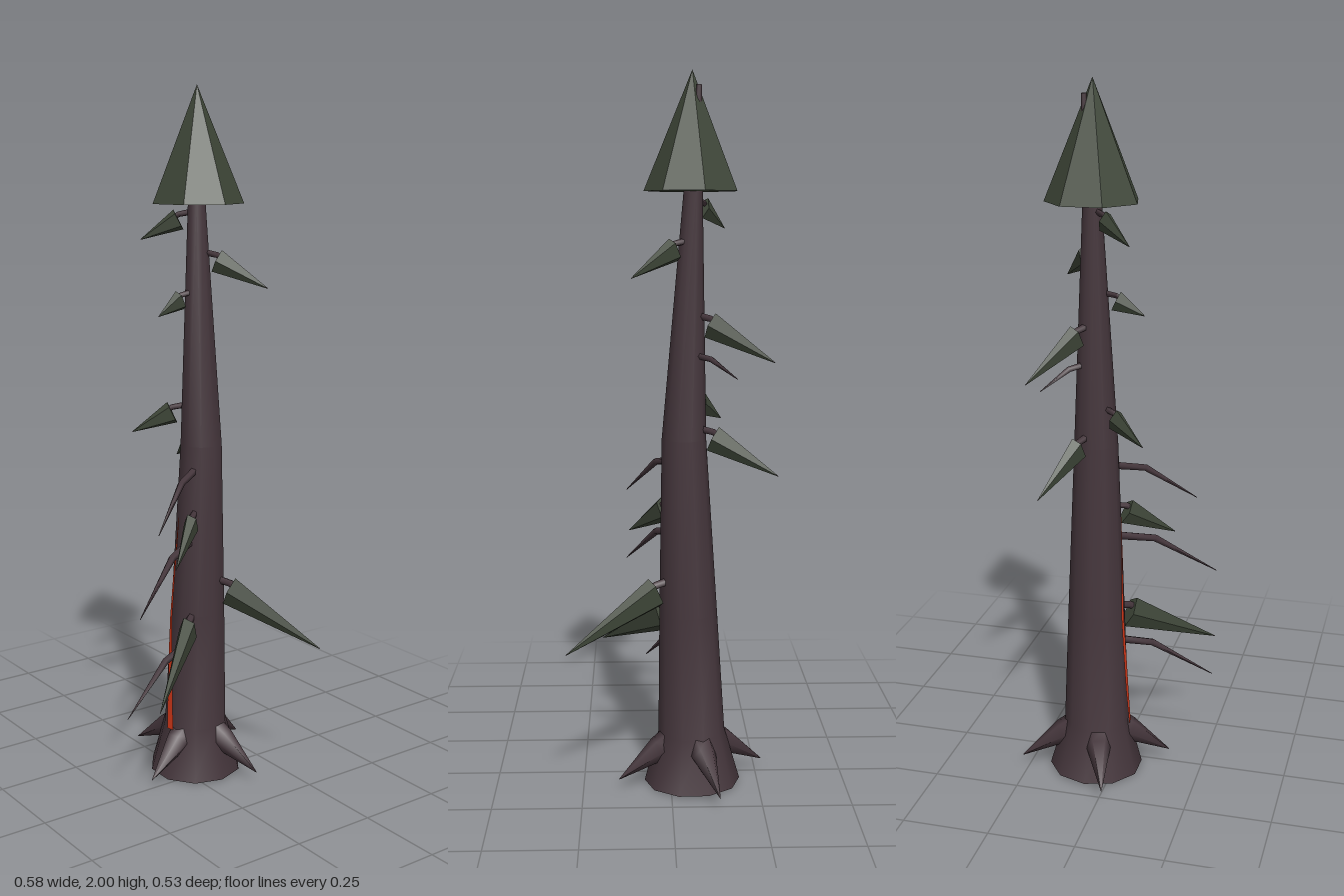
import * as THREE from 'three';
import { toCreasedNormals } from 'three/addons/utils/BufferGeometryUtils.js';

const V = (x, y, z) => new THREE.Vector3(x, y, z);

// Tapered limb: rings of the given radii along a path, capped at both ends.
// squash narrows the rings sideways; crease is the smoothing angle.
function limb(path, radii, sides, crease, squash = 1) {
  const pos = [], index = [], n = path.length;
  path.forEach((p, i) => {
    const d = path[Math.min(i + 1, n - 1)].clone().sub(path[Math.max(i - 1, 0)]).normalize();
    const ref = Math.abs(d.y) > 0.9 ? V(0, 0, 1) : V(0, 1, 0);
    const u = d.clone().cross(ref).normalize();
    const v = d.clone().cross(u);
    for (let k = 0; k < sides; k++) {
      const a = k / sides * Math.PI * 2;
      const q = p.clone()
        .addScaledVector(u, Math.cos(a) * radii[i] * squash)
        .addScaledVector(v, Math.sin(a) * radii[i]);
      pos.push(q.x, q.y, q.z);
    }
  });
  const first = n * sides, last = first + 1;
  for (const p of [path[0], path[n - 1]]) pos.push(p.x, p.y, p.z);
  for (let k = 0; k < sides; k++) {
    const k1 = (k + 1) % sides;
    for (let i = 0; i < n - 1; i++) {
      const a = i * sides + k, b = i * sides + k1;
      index.push(a, b, b + sides, a, b + sides, a + sides);
    }
    index.push(first, k1, k, last, (n - 1) * sides + k, (n - 1) * sides + k1);
  }
  const g = new THREE.BufferGeometry();
  g.setAttribute('position', new THREE.Float32BufferAttribute(pos, 3));
  g.setIndex(index);
  return toCreasedNormals(g, crease);
}

// Trunk rings: height, centre x, centre z, radius
const TRUNK = [
  [0, -0.062, -0.06, 0.137], [0.15, -0.06, -0.058, 0.095], [0.5, -0.05, -0.06, 0.082],
  [1.0, -0.037, -0.062, 0.062], [1.68, -0.061, -0.063, 0.026], [1.96, -0.076, -0.08, 0.007],
];

// Trunk centre and radius at a height
function trunkAt(y) {
  let i = 0;
  while (i < TRUNK.length - 2 && TRUNK[i + 1][0] < y) i++;
  const a = TRUNK[i], b = TRUNK[i + 1], t = (y - a[0]) / (b[0] - a[0]);
  const mix = (k) => a[k] + (b[k] - a[k]) * t;
  return { c: V(mix(1), y, mix(2)), r: mix(3) };
}

export function createModel() {
  const model = new THREE.Group();
  const bark = new THREE.MeshStandardMaterial({ color: 0x45363c });
  bark.name = 'bark';
  const needles = new THREE.MeshStandardMaterial({ color: 0x3d4537 });
  needles.name = 'needles';
  const ember = new THREE.MeshStandardMaterial({ color: 0xdc3a1a });
  ember.name = 'ember';
  const add = (name, geo, mat, parent = model) => {
    const m = new THREE.Mesh(geo, mat);
    m.name = name;
    parent.add(m);
    return m;
  };

  // Leaning trunk with a flared foot
  add('trunk', limb(TRUNK.map(([y, x, z]) => V(x, y, z)), TRUNK.map((t) => t[3]), 10, 1.3), bark);

  // Seven-sided crown
  const crown = toCreasedNormals(new THREE.ConeGeometry(0.132, 0.32, 7, 1, false, Math.PI / 2), 0);
  add('crown', crown, needles).position.set(-0.058, 1.84, -0.061);

  // Four root spikes, a quarter turn apart
  for (let i = 0; i < 4; i++) {
    const a = 1.24 + i * Math.PI / 2;
    const at = (r, y) => V(-0.06 + Math.cos(a) * r, y, -0.06 + Math.sin(a) * r);
    add('root', limb([at(0.06, 0.125), at(0.1, 0.105), at(0.22, 0.03)], [0.042, 0.036, 0.001], 6, 1.3), bark);
  }

  // Bent twig growing from the trunk to a tip, with or without foliage
  function branch(startY, tip, leafy) {
    const g = new THREE.Group();
    g.name = leafy ? 'leafyBranch' : 'bareBranch';
    model.add(g);
    const { c, r } = trunkAt(startY);
    const end = V(...tip);
    const reach = Math.hypot(end.x - c.x, end.z - c.z);
    const f = leafy ? Math.min(0.45, (r + 0.025) / reach) : 0.48;
    const bend = c.clone().lerp(end, f);
    bend.y = startY - (startY - end.y) * f * 0.4;
    const thick = 0.007 + reach * 0.016;
    add('twig', limb([c, bend, end], [thick, thick * 0.85, 0.001], 5, 1.3), bark, g);
    if (!leafy) return;
    const size = 0.021 + reach * 0.07;
    const base = bend.clone();
    base.y -= size * 0.45;
    add('foliage', limb([base, end], [size, 0.001], 5, 0, 0.55), needles, g);
  }

  // Leafy branches: start height, tip
  [
    [0.61, [0.29, 0.435, -0.245]],
    [0.51, [0.2, 0.33, 0.246]],
    [0.82, [0.118, 0.695, 0.135]],
    [1.04, [-0.292, 0.91, -0.155]],
    [1.35, [-0.277, 1.225, -0.187]],
    [1.12, [-0.15, 1.035, 0.1]],
    [1.55, [0.108, 1.45, -0.184]],
    [1.66, [-0.155, 1.58, 0.063]],
    [1.44, [-0.045, 1.375, 0.078]],
  ].forEach(([y, tip]) => branch(y, tip, true));

  // Bare branches: start height, tip
  [
    [0.94, [0.125, 0.805, 0.197]],
    [0.73, [0.126, 0.58, 0.26]],
    [0.41, [0.067, 0.27, 0.265]],
    [1.24, [-0.177, 1.18, -0.18]],
  ].forEach(([y, tip]) => branch(y, tip, false));

  // Glowing crack: curved sliver laid over the trunk's front
  const sliver = [
    [0.14, -0.05, 0.026], [0.25, -0.058, 0.024], [0.36, -0.064, 0.02], [0.48, -0.068, 0.014],
    [0.6, -0.06, 0.01], [0.7, -0.05, 0.007], [0.79, -0.044, 0.002],
  ];
  const pos = [], index = [];
  sliver.forEach(([y, x, w], i) => {
    const { c, r } = trunkAt(y);
    for (const s of [-1, 1]) {
      const px = x + s * w / 2;
      pos.push(px, y, c.z + Math.sqrt(r * r - (px - c.x) ** 2) + 0.003);
    }
    const a = i * 2;
    if (i < sliver.length - 1) index.push(a, a + 1, a + 3, a, a + 3, a + 2);
  });
  const crack = new THREE.BufferGeometry();
  crack.setAttribute('position', new THREE.Float32BufferAttribute(pos, 3));
  crack.setIndex(index);
  crack.computeVertexNormals();
  add('glowingCrack', crack, ember);

  return model;
}
